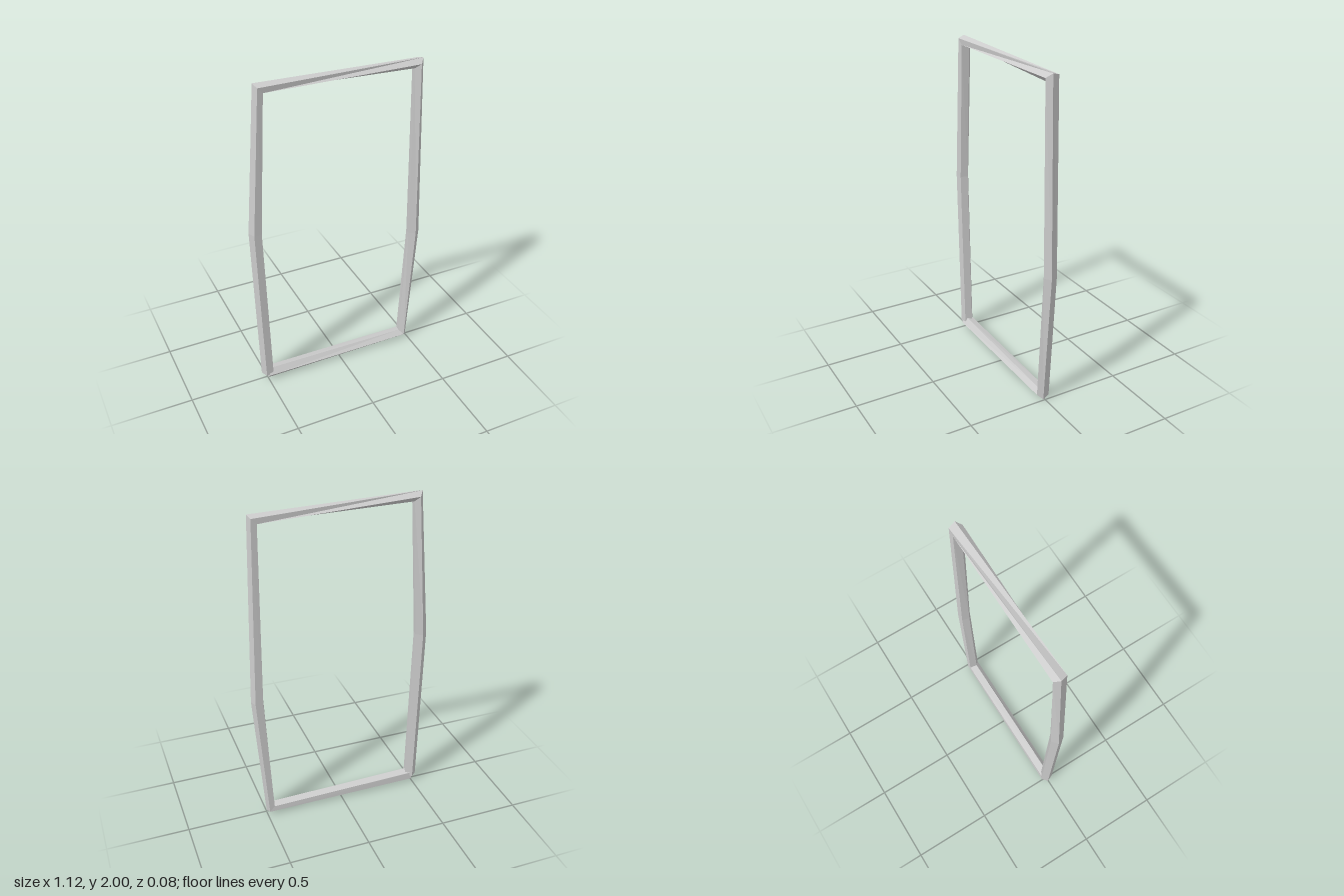
import * as THREE from 'three';

const SIDES = 5;
const RADIUS = 0.04;

// Five-sided bar swept along a path of [x, y, start angle in degrees]
function sweepBar(path) {
  const points = path.map(([x, y]) => new THREE.Vector2(x, y));
  const positions = [];
  const index = [];

  path.forEach(([x, y, phase], i) => {
    // Ring plane bisects the two neighbouring segments
    const tangent = new THREE.Vector2();
    if (i > 0) tangent.add(points[i].clone().sub(points[i - 1]).normalize());
    if (i < points.length - 1) tangent.add(points[i + 1].clone().sub(points[i]).normalize());
    tangent.normalize();
    for (let j = 0; j < SIDES; j++) {
      const a = THREE.MathUtils.degToRad(phase + (j * 360) / SIDES);
      const out = Math.cos(a) * RADIUS;
      positions.push(x - tangent.y * out, y + tangent.x * out, Math.sin(a) * RADIUS);
    }
  });

  // Side faces
  for (let i = 0; i < path.length - 1; i++) {
    for (let j = 0; j < SIDES; j++) {
      const k = (j + 1) % SIDES;
      const a = i * SIDES;
      const b = a + SIDES;
      index.push(a + j, a + k, b + j, a + k, b + k, b + j);
    }
  }

  // End caps
  const last = (path.length - 1) * SIDES;
  for (let j = 1; j < SIDES - 1; j++) {
    index.push(0, j + 1, j, last, last + j, last + j + 1);
  }

  const geometry = new THREE.BufferGeometry();
  geometry.setAttribute('position', new THREE.Float32BufferAttribute(positions, 3));
  geometry.setIndex(index);
  const flat = geometry.toNonIndexed();
  flat.computeVertexNormals();
  return flat;
}

export function createModel() {
  const group = new THREE.Group();
  group.name = 'doorFrame';

  const grey = new THREE.MeshStandardMaterial({ color: 0xcccccc, flatShading: true, side: THREE.DoubleSide });
  grey.name = 'light grey';

  // Bowed posts, twisted top rail and bottom sill in one sweep from the bottom corner
  const frame = new THREE.Mesh(
    sweepBar([
      [-0.495, 0.04, -12],
      [-0.521, 1.1, -12],
      [-0.462, 1.972, -12],
      [0.493, 1.953, -57],
      [0.517, 0.83, -57],
      [0.47, 0.032, -57],
      [-0.495, 0.039, -57],
    ]),
    grey
  );
  frame.name = 'frame';
  group.add(frame);
  return group;
}
